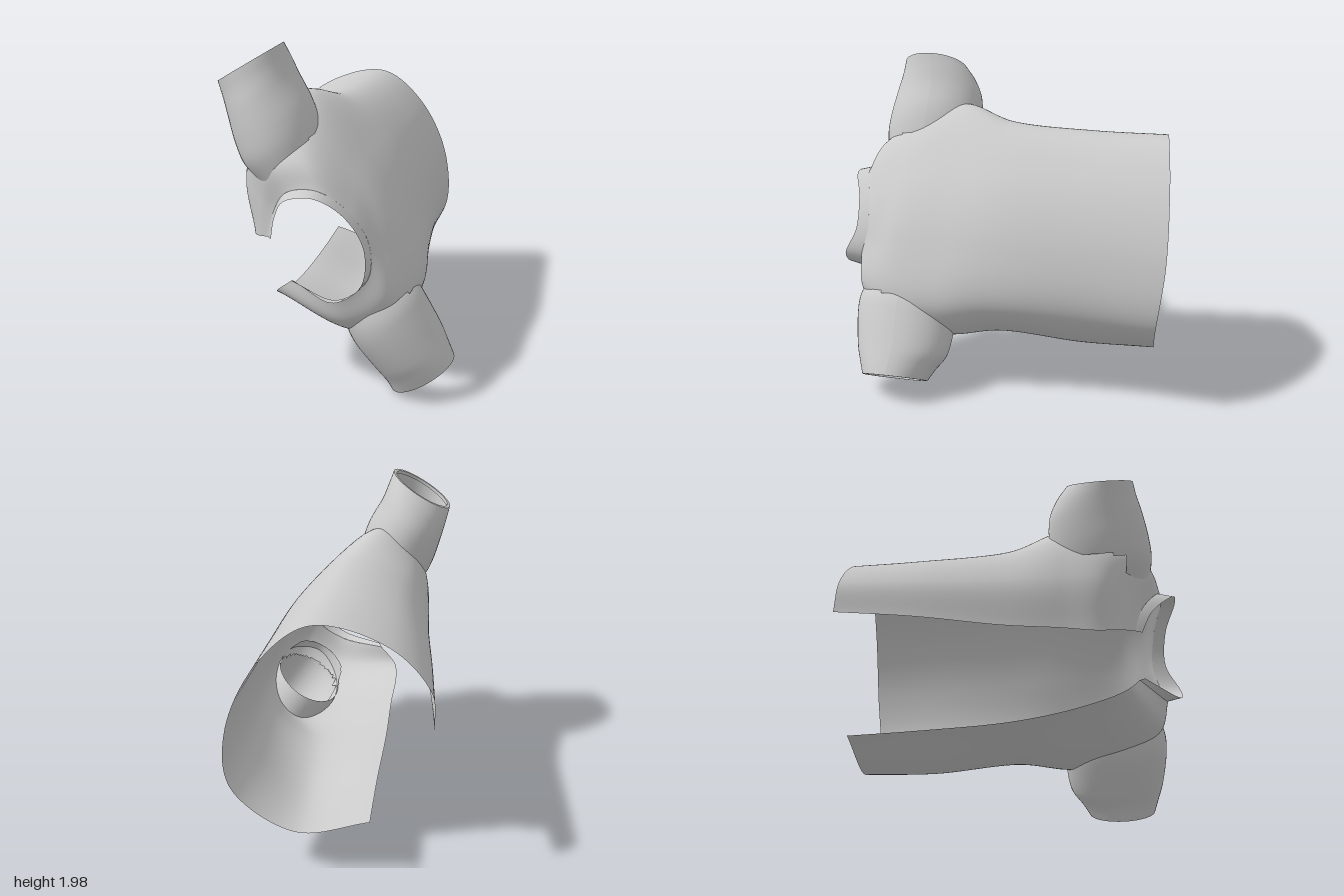
import * as THREE from 'three';

const material = new THREE.MeshStandardMaterial({ color: 0xcccccc, side: THREE.DoubleSide });
const V = (x, y, z) => new THREE.Vector3(x, y, z);

// Smooth surface through rings of points; cells whose centre passes skip() are left out
function loft(name, rings, rows, cols, { closed = false, skip = () => false } = {}) {
  const columns = rings[0].map((_, i) => new THREE.CatmullRomCurve3(rings.map(r => r[i])));
  const pts = [];
  for (let j = 0; j <= rows; j++) {
    const across = new THREE.CatmullRomCurve3(columns.map(c => c.getPoint(j / rows)), closed);
    for (let i = 0; i <= cols; i++) pts.push(across.getPoint(i / cols));
  }
  const index = [];
  for (let j = 0; j < rows; j++) {
    for (let i = 0; i < cols; i++) {
      const a = j * (cols + 1) + i, b = a + 1, c = a + cols + 1, d = c + 1;
      const mid = pts[a].clone().add(pts[b]).add(pts[c]).add(pts[d]).multiplyScalar(0.25);
      if (!skip(mid)) index.push(a, b, d, a, d, c);
    }
  }
  const geometry = new THREE.BufferGeometry().setFromPoints(pts);
  geometry.setIndex(index);
  geometry.computeVertexNormals();
  const mesh = new THREE.Mesh(geometry, material);
  mesh.name = name;
  return mesh;
}

// Body sections, each running from the upper front edge round the back to the lower front edge
const section = (z, xy) => xy.map(([x, y, own]) => V(x, y, own ?? z));
const hem = section(-0.97, [[-0.67, 1.02, -0.96], [-0.65, 1.22, -0.95], [-0.43, 1.46, -0.94], [-0.02, 1.57, -0.96],
  [0.25, 1.36, -0.99], [0.44, 0.95, -1], [0.43, 0.55, -0.96], [0.08, 0.29, -0.94], [-0.34, 0.39, -0.93]]);
const waist = section(-0.5, [[-0.63, 0.98], [-0.62, 1.21], [-0.43, 1.46], [-0.05, 1.57],
  [0.23, 1.35], [0.41, 0.96], [0.41, 0.57], [0.09, 0.28], [-0.34, 0.4]]);
const chest = section(0, [[-0.57, 0.92], [-0.58, 1.2], [-0.42, 1.48], [-0.1, 1.6],
  [0.19, 1.36], [0.39, 0.97], [0.43, 0.58], [0.14, 0.33], [-0.35, 0.42]]);
const armpit = section(0.33, [[-0.53, 0.9], [-0.57, 1.2], [-0.47, 1.52], [-0.24, 1.68],
  [0.13, 1.35], [0.36, 0.97], [0.46, 0.56], [0.25, 0.32], [-0.35, 0.47]]);
const upperChest = section(0.64, [[-0.51, 0.88, 0.53], [-0.54, 1.2, 0.57], [-0.44, 1.47], [-0.2, 1.55],
  [0.11, 1.29], [0.33, 0.95], [0.42, 0.55], [0.18, 0.36], [-0.36, 0.54, 0.6]]);
const shoulder = section(0.84, [[-0.46, 0.9, 0.65], [-0.41, 1.15, 0.73], [-0.31, 1.37, 0.84], [-0.12, 1.4, 0.85],
  [0.12, 1.2, 0.79], [0.27, 0.92, 0.78], [0.32, 0.64, 0.85], [0.1, 0.5, 0.86], [-0.34, 0.59, 0.69]]);
const neck = section(0.85, [[-0.37, 0.93, 0.74], [-0.32, 1.1, 0.79], [-0.21, 1.25, 0.89], [-0.05, 1.27, 0.91],
  [0.11, 1.15, 0.86], [0.22, 0.96, 0.84], [0.22, 0.78, 0.89], [0.06, 0.66, 0.91], [-0.24, 0.68, 0.75]]);
const bandHeight = [0.04, 0.06, 0.09, 0.08, 0.07, 0.08, 0.11, 0.08, 0.03];
const rim = neck.map((p, i) => V(p.x * 0.93, 0.95 + (p.y - 0.95) * 0.94, p.z + bandHeight[i]));

// Sleeve stations from cuff to root, then on into the yoke: x, y, z, radius across, radius along z
const sleeves = {
  upperSleeve: [[-0.485, 1.88, 0.58, 0.21, 0.2], [-0.462, 1.8, 0.555, 0.215, 0.24], [-0.43, 1.7, 0.545, 0.222, 0.278],
    [-0.37, 1.55, 0.555, 0.24, 0.3], [-0.325, 1.44, 0.565, 0.235, 0.3], [-0.26, 1.32, 0.56, 0.2, 0.285]],
  lowerSleeve: [[0.495, 0.11, 0.6, 0.207, 0.2], [0.46, 0.175, 0.59, 0.21, 0.235], [0.41, 0.25, 0.575, 0.22, 0.28],
    [0.3, 0.42, 0.58, 0.235, 0.31], [0.25, 0.51, 0.58, 0.23, 0.31], [0.19, 0.61, 0.57, 0.2, 0.29]],
};
const side = V(0.86, 0.51, 0);
const ellipse = ([x, y, z, r, rz], scale = 1) => Array.from({ length: 16 }, (_, i) => {
  const a = (i / 16) * Math.PI * 2;
  return V(x, y, z + Math.sin(a) * rz * scale).addScaledVector(side, Math.cos(a) * r * scale);
});

// Position along a sleeve (0 cuff, 1 root) and offset from its axis
function along(p, stations) {
  const start = V(...stations[0].slice(0, 3));
  const axis = V(...stations[4].slice(0, 3)).sub(start);
  const off = p.clone().sub(start);
  const s = off.dot(axis) / axis.lengthSq();
  return { s, off: off.addScaledVector(axis, -s) };
}

// True where a body point lies inside a sleeve, so the armhole stays open
const insideSleeve = p => Object.values(sleeves).some(stations => {
  const { s, off } = along(p, stations);
  return s > 0 && s < 0.97 && Math.hypot(off.dot(side) / 0.225, off.z / 0.29) < 0.97;
});

export function createModel() {
  const group = new THREE.Group();
  group.name = 'openFrontShirt';

  // Body, open along the front and at the hem
  group.add(loft('body', [hem, waist, chest, armpit, upperChest, shoulder, neck], 120, 120, { skip: insideSleeve }));

  // Standing collar band
  group.add(loft('collar', [neck, rim], 3, 48));

  // Sleeves with a turned-in cuff edge; only their front runs on over the yoke
  for (const [name, stations] of Object.entries(sleeves)) {
    const sleeve = new THREE.Group();
    sleeve.name = name;
    const skip = p => p.z < 0.7 && along(p, stations).s > 1.02;
    sleeve.add(loft('sleeveTube', stations.map(s => ellipse(s)), 30, 48, { closed: true, skip }));
    const inner = stations[0].map((v, i) => v + (stations[1][i] - v) * 0.25);
    sleeve.add(loft('cuffEdge', [ellipse(stations[0]), ellipse(stations[0], 0.9)], 1, 48, { closed: true }));
    sleeve.add(loft('cuffFold', [ellipse(stations[0], 0.9), ellipse(inner, 0.9)], 1, 48, { closed: true }));
    group.add(sleeve);
  }
  return group;
}
